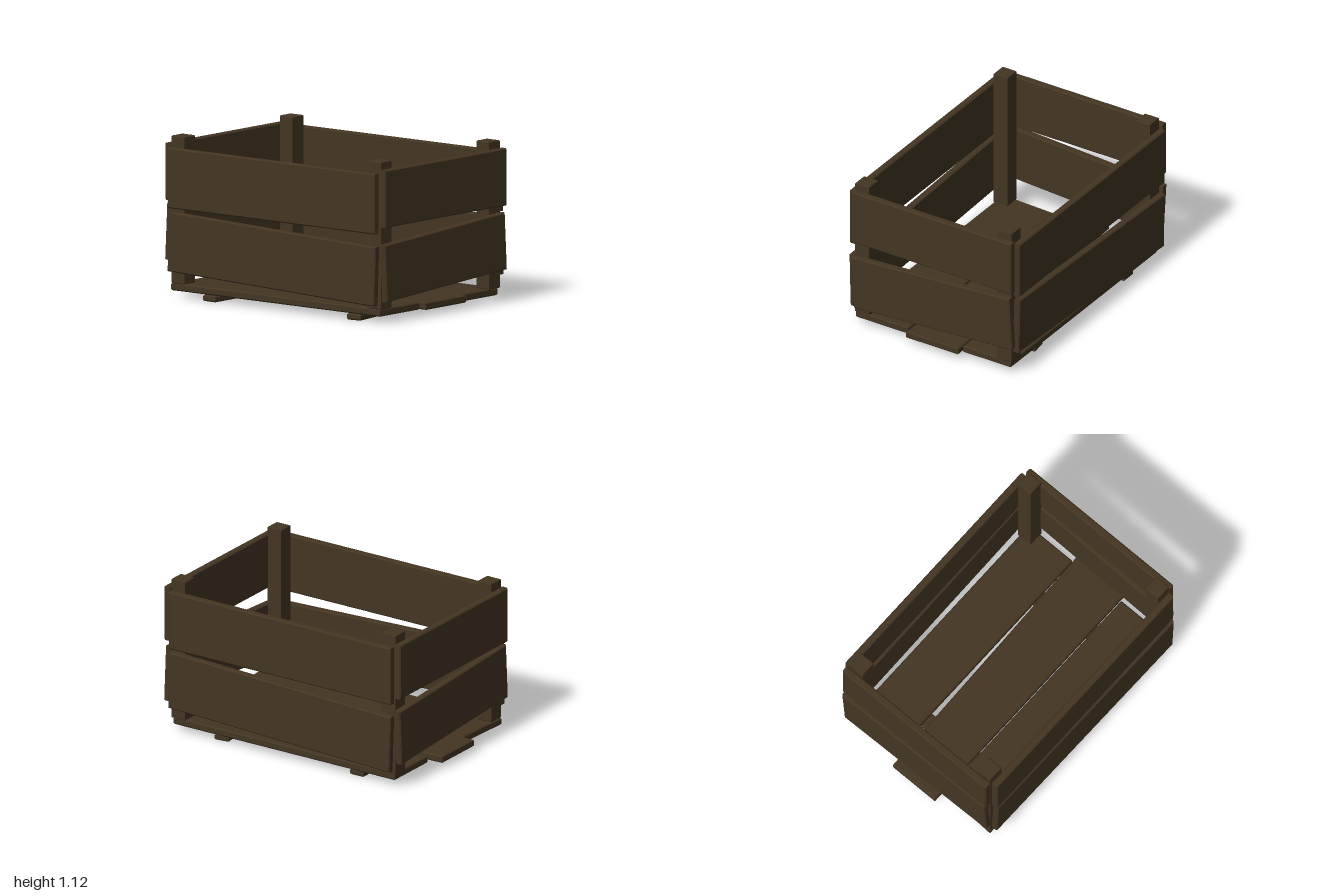
import * as THREE from 'three';

const wood = new THREE.MeshStandardMaterial({ color: 0x443523 });
wood.name = 'dark brown wood';

// Chamfered board: outline in its own plane, extruded to a thickness and centred on it
function boardGeometry(outline, thickness, bevel = 0.008) {
  const shape = new THREE.Shape(outline.map(([x, y]) => new THREE.Vector2(x, y)));
  const geometry = new THREE.ExtrudeGeometry(shape, {
    depth: thickness - 2 * bevel,
    bevelEnabled: true,
    bevelThickness: bevel,
    bevelSize: bevel,
    bevelOffset: -bevel,
    bevelSegments: 1,
  });
  return geometry.translate(0, 0, bevel - thickness / 2);
}

function rect(w, h) {
  return [[-w / 2, -h / 2], [w / 2, -h / 2], [w / 2, h / 2], [-w / 2, h / 2]];
}

export function createModel() {
  const crate = new THREE.Group();
  crate.name = 'crate';

  function add(name, geometry, x, y, z) {
    const mesh = new THREE.Mesh(geometry, wood);
    mesh.name = name;
    mesh.position.set(x, y, z);
    crate.add(mesh);
  }

  // Corner posts
  for (const x of [-0.865, 0.893]) {
    for (const z of [-0.583, 0.583]) {
      add('cornerPost', boardGeometry(rect(0.115, 0.115), 1.03, 0.005).rotateX(Math.PI / 2), x, 0.61, z);
    }
  }

  // Front and back planks: straight above, crooked below
  for (const [side, z, tilt] of [['front', 0.67, -0.035], ['back', -0.67, 0.035]]) {
    add(side + 'UpperPlank', boardGeometry(rect(1.855, 0.42), 0.052), 0.01, 0.835, z);
    add(side + 'LowerPlank', boardGeometry(rect(1.85, 0.415), 0.052).rotateZ(tilt), 0.012, 0.36, z);
  }

  // End planks: straight above, crooked below
  for (const [side, x, y, tilt] of [['right', 0.969, 0.387, -0.058], ['left', -0.953, 0.418, 0.058]]) {
    add(side + 'UpperPlank', boardGeometry(rect(1.31, 0.4), 0.052).rotateY(-Math.PI / 2), x, 0.87, -0.01);
    add(side + 'LowerPlank', boardGeometry(rect(1.3, 0.4), 0.052).rotateZ(tilt).rotateY(-Math.PI / 2), x, y, -0.01);
  }

  // Floor boards, outlines given as x and z
  const floor = {
    backFloorBoard: [[-0.91, -0.63], [0.94, -0.63], [0.94, -0.235], [-0.91, -0.235]],
    middleFloorBoard: [[-1, -0.183], [0.99, -0.23], [0.99, 0.2], [-1, 0.2]],
    frontFloorBoard: [[-0.908, 0.213], [0.94, 0.213], [0.94, 0.64], [-0.928, 0.64]],
  };
  for (const [name, outline] of Object.entries(floor)) {
    add(name, boardGeometry(outline, 0.052).rotateX(Math.PI / 2), 0, 0.071, 0);
  }

  // Slats under the floor, one set askew
  for (const [name, x, turn] of [['leftFloorSlat', -0.58, 0], ['rightFloorSlat', 0.63, 0.125]]) {
    add(name, boardGeometry(rect(0.112, 1.26), 0.043).rotateX(Math.PI / 2).rotateY(turn), x, 0.0215, 0.018);
  }

  return crate;
}
